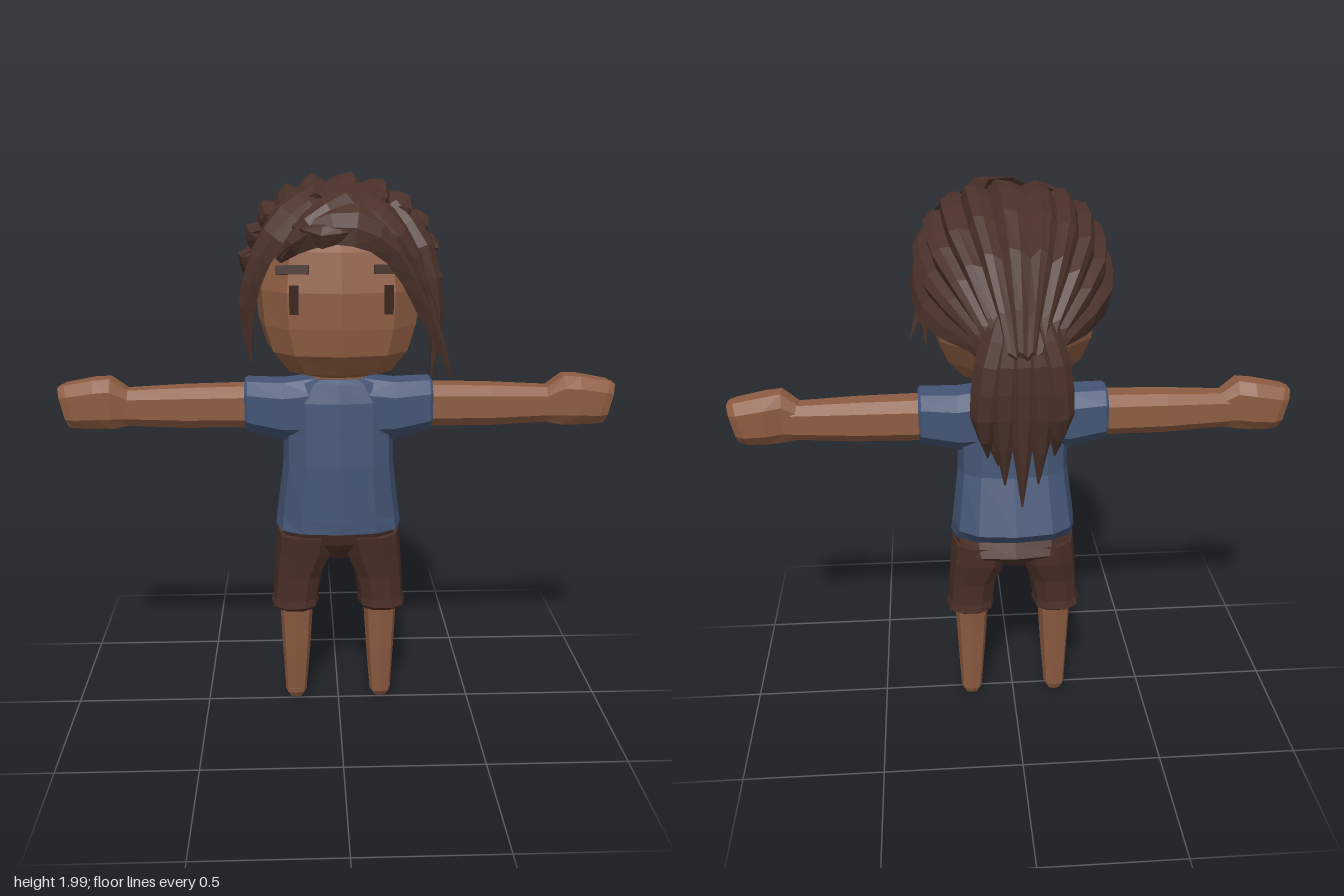
import * as THREE from 'three';

const mat = (name, color) => Object.assign(new THREE.MeshStandardMaterial({ color }), { name });
const V = (x, y, z) => new THREE.Vector3(x, y, z);

// Joins closed rings of points into a faceted skin, facing outward.
function loft(rings, capped = true) {
  const tris = [], n = rings[0].length;
  for (let i = 0; i < rings.length - 1; i++) {
    for (let j = 0; j < n; j++) {
      const k = (j + 1) % n, a = rings[i][j], b = rings[i][k], c = rings[i + 1][k], d = rings[i + 1][j];
      tris.push([a, d, c], [a, c, b]);
    }
  }
  if (capped) {
    for (const [r, flip] of [[rings[0], false], [rings[rings.length - 1], true]]) {
      const mid = r.reduce((s, p) => s.add(p), V(0, 0, 0)).divideScalar(n);
      for (let j = 0; j < n; j++) {
        const k = (j + 1) % n;
        tris.push(flip ? [mid, r[k], r[j]] : [mid, r[j], r[k]]);
      }
    }
  }
  let volume = 0;
  const o = rings[0][0];
  for (const [a, b, c] of tris) {
    volume += a.clone().sub(o).dot(b.clone().sub(o).cross(c.clone().sub(o)));
  }
  const pts = tris.flatMap(([a, b, c]) => (volume < 0 ? [a, c, b] : [a, b, c]));
  const g = new THREE.BufferGeometry().setFromPoints(pts);
  g.computeVertexNormals();
  return g;
}

const soft = (v, e) => Math.sign(v) * Math.abs(v) ** e;

// Horizontal rounded ring: centre x, height, half width, front z, back z.
function ring([cx, y, rx, zf, zb], n = 10, e = 0.75) {
  return Array.from({ length: n }, (_, i) => {
    const a = (i / n) * Math.PI * 2;
    return V(cx + rx * soft(Math.cos(a), e), y, (zf + zb) / 2 + ((zf - zb) / 2) * soft(Math.sin(a), e));
  });
}

// Upright ring across an arm: x, bottom, top, back z, front z, lean of the end.
function armRing(side, [x, y0, y1, z0, z1, lean = 0]) {
  return Array.from({ length: 8 }, (_, i) => {
    const a = ((i + 0.5) / 8) * Math.PI * 2, c = soft(Math.cos(a), 0.7) * 1.07, s = soft(Math.sin(a), 0.7) * 1.07;
    return V(side * (x + lean * s), (y0 + y1) / 2 + ((y1 - y0) / 2) * s, (z0 + z1) / 2 + ((z1 - z0) / 2) * c);
  });
}

// Tapered, flattened strand of hair lying against the head.
function lock(points, widths, thick) {
  const curve = new THREE.CatmullRomCurve3(points.map((p) => V(...p)));
  const steps = (points.length - 1) * 2, rings = [];
  for (let i = 0; i <= steps; i++) {
    const t = i / steps, f = t * (widths.length - 1), k = Math.min(Math.floor(f), widths.length - 2);
    const w = THREE.MathUtils.lerp(widths[k], widths[k + 1], f - k);
    const p = curve.getPoint(t), tan = curve.getTangent(t);
    const out = p.clone().sub(V(0, 1.6, 0));
    out.addScaledVector(tan, -out.dot(tan)).normalize();
    const across = tan.clone().cross(out);
    const h = Math.min(thick, w);
    rings.push([[w, 0], [0.35 * w, h], [-0.4 * w, 0.8 * h], [-w, 0], [0, -h]].map(([u, v]) =>
      p.clone().addScaledVector(across, u).addScaledVector(out, v)));
  }
  return loft(rings);
}

// Ridged hair shell running from the hairline to the gather at the back.
function hairShell() {
  // base z, base y, top z, top y, half width, thickness
  const rows = [
    [0.25, 1.69, 0.25, 1.88, 0.29, 0], [0.26, 1.67, 0.27, 1.93, 0.315, 0.05],
    [0.1, 1.645, 0.1, 1.97, 0.335, 0.06], [-0.05, 1.61, -0.05, 1.975, 0.33, 0.06],
    [-0.18, 1.58, -0.21, 1.935, 0.305, 0.06], [-0.27, 1.55, -0.33, 1.84, 0.24, 0.06],
    [-0.32, 1.52, -0.41, 1.67, 0.15, 0.05], [-0.34, 1.48, -0.45, 1.55, 0.1, 0.03], [-0.35, 1.46, -0.43, 1.5, 0.07, 0],
  ];
  const N = 33;
  const rings = rows.map(([bz, by, tz, ty, w, th], r) => {
    const arch = (inset, ridged) => Array.from({ length: N }, (_, i) => {
      const a = (i / (N - 1)) * Math.PI, s = soft(Math.sin(a), 0.85), c = soft(Math.cos(a), 0.85);
      const ridge = ridged && th ? [0.014, 0.004, -0.016][i % 3] : 0;
      const k = 1 - (inset - ridge) / Math.max(w, 0.1);
      const tip = r < 2 ? [0.012, 0, -0.02][i % 3] : 0;
      return V(w * c * k, by + (ty - by) * s * k, bz + (tz - bz) * s + tip);
    });
    return [...arch(0, true), ...arch(th, false).reverse()];
  });
  return loft(rings, false);
}

export function createModel() {
  const model = new THREE.Group();
  model.name = 'figure';
  const skin = mat('skin', 0x8d5c41), hair = mat('hair', 0x4b322a), shirt = mat('shirt', 0x435474);
  const cloth = mat('shorts', 0x4a2f27), dark = mat('eyes', 0x3a241c);
  const add = (name, geometry, material, parent = model) => {
    const m = new THREE.Mesh(geometry, material);
    m.name = name;
    parent.add(m);
    return m;
  };

  // Head and neck
  add('head', loft([
    [0, 1.3, 0.1, 0.12, -0.06], [0, 1.335, 0.19, 0.24, -0.12], [0, 1.41, 0.25, 0.3, -0.21], [0, 1.5, 0.28, 0.31, -0.27],
    [0, 1.62, 0.29, 0.31, -0.3], [0, 1.75, 0.27, 0.28, -0.29], [0, 1.85, 0.2, 0.2, -0.22], [0, 1.9, 0.08, 0.08, -0.1],
  ].map((r) => ring(r, 12, 0.7))), skin);
  add('neck', loft([[0, 1.2, 0.11, 0.06, -0.09], [0, 1.28, 0.1, 0.06, -0.08], [0, 1.36, 0.08, 0.06, -0.07]].map((r) => ring(r))), skin);

  // Shirt body
  add('shirtBody', loft([
    [0, 0.72, 0.23, 0.13, -0.15], [0, 0.77, 0.225, 0.13, -0.2], [0, 0.97, 0.2, 0.12, -0.125],
    [0, 1.08, 0.2, 0.11, -0.115], [0, 1.2, 0.2, 0.1, -0.105], [0, 1.265, 0.15, 0.08, -0.095], [0, 1.28, 0.11, 0.065, -0.09],
  ].map((r) => ring(r, 12))), shirt);

  // Shorts seat
  add('shortsSeat', loft([
    [0, 0.6, 0.1, 0.05, -0.1], [0, 0.67, 0.21, 0.105, -0.18], [0, 0.73, 0.228, 0.125, -0.15],
  ].map((r) => ring(r, 12))), cloth);

  for (const s of [1, -1]) {
    const side = s > 0 ? 'left' : 'right';
    // Sleeve, arm and fist
    add(side + 'Sleeve', loft([
      [0.08, 1.05, 1.28, -0.09, 0.08], [0.2, 1.06, 1.265, -0.1, 0.09],
      [0.325, 1.09, 1.27, -0.1, 0.08], [0.335, 1.1, 1.265, -0.09, 0.07],
    ].map((r) => armRing(s, r))), shirt);
    add(side + 'Arm', loft([
      [0.28, 1.1, 1.25, -0.085, 0.055], [0.55, 1.1, 1.245, -0.075, 0.05], [0.78, 1.11, 1.235, -0.06, 0.04],
    ].map((r) => armRing(s, r))), skin);
    add(side + 'Hand', loft([
      [0.75, 1.11, 1.235, -0.055, 0.04], [0.81, 1.1, 1.28, -0.06, 0.055], [0.87, 1.1, 1.275, -0.078, 0.055],
      [0.955, 1.1, 1.255, -0.075, 0.045, 0.02], [0.983, 1.105, 1.245, -0.06, 0.035, 0.016],
    ].map((r) => armRing(s, r))), skin);

    // Shorts leg and bare leg
    add(side + 'ShortsLeg', loft([
      [0.16, 0.395, 0.075, 0.07, -0.1], [0.163, 0.41, 0.09, 0.085, -0.12], [0.16, 0.44, 0.085, 0.083, -0.115],
      [0.15, 0.53, 0.09, 0.09, -0.125], [0.125, 0.62, 0.108, 0.105, -0.15], [0.11, 0.7, 0.115, 0.12, -0.16],
    ].map((r) => ring([r[0] * s, ...r.slice(1)], 10))), cloth);
    add(side + 'Leg', loft([
      [0.163, 0, 0.025, -0.005, -0.05], [0.163, 0.025, 0.04, 0.012, -0.062],
      [0.16, 0.22, 0.053, 0.04, -0.08], [0.158, 0.42, 0.064, 0.06, -0.1],
    ].map((r) => ring([r[0] * s, ...r.slice(1)], 8))), skin);

    // Eye and brow
    const eye = add(side + 'Eye', new THREE.BoxGeometry(0.03, 0.095, 0.009), dark);
    eye.position.set(s * 0.155, 1.598, 0.287);
    eye.rotation.y = s * 0.165;
    const brow = add(side + 'Brow', new THREE.BoxGeometry(0.11, 0.03, 0.009), dark);
    brow.position.set(s * 0.16, 1.695, 0.277);
    brow.rotation.set(-0.2, s * 0.18, 0);
  }

  // Hair: shell, fringe and tail
  const hairGroup = new THREE.Group();
  hairGroup.name = 'hair';
  model.add(hairGroup);
  add('hairShell', hairShell(), hair, hairGroup);
  const fringe = [
    [[[-0.2, 1.74, 0.33], [-0.1, 1.83, 0.4], [0.04, 1.85, 0.41], [0.17, 1.77, 0.38], [0.27, 1.58, 0.35], [0.36, 1.35, 0.33]], [0.02, 0.06, 0.075, 0.06, 0.04, 0.003], 0.03],
    [[[0.12, 1.92, 0.22], [0.02, 1.9, 0.34], [-0.1, 1.84, 0.39], [-0.2, 1.73, 0.35]], [0.08, 0.08, 0.055, 0.004], 0.035],
    [[[-0.08, 1.92, 0.22], [-0.17, 1.87, 0.31], [-0.26, 1.74, 0.31], [-0.305, 1.58, 0.28], [-0.3, 1.38, 0.25]], [0.07, 0.065, 0.05, 0.035, 0.003], 0.03],
    [[[0.18, 1.9, 0.22], [0.27, 1.77, 0.29], [0.31, 1.56, 0.29], [0.3, 1.34, 0.28]], [0.06, 0.05, 0.035, 0.003], 0.025],
    [[[0.02, 1.92, 0.24], [0.12, 1.87, 0.36], [0.22, 1.74, 0.37], [0.28, 1.57, 0.37]], [0.07, 0.06, 0.04, 0.003], 0.03],
    [[[-0.15, 1.84, 0.36], [-0.06, 1.82, 0.43], [0.04, 1.83, 0.42]], [0.015, 0.045, 0.015], 0.035],
  ];
  fringe.forEach(([p, w, t], i) => add('fringeLock' + (i + 1), lock(p, w, t), hair, hairGroup));
  for (let k = -2; k <= 2; k++) {
    const far = Math.abs(k), tip = [1.01, 1.08, 1.17][far];
    add('tailLock', lock([
      [k * 0.03, 1.64, -0.37], [k * 0.05, 1.5, -0.42], [k * 0.06, 1.33, -0.425], [k * 0.055, tip, -0.425 + far * 0.025],
    ], [0.045, 0.055, 0.05, 0.003], 0.035), hair, hairGroup);
  }
  for (const s of [-1, 1]) {
    add('innerTailLock', lock([
      [s * 0.05, 1.54, -0.34], [s * 0.09, 1.4, -0.36], [s * 0.09, 1.25, -0.33], [s * 0.07, 1.1, -0.29],
    ], [0.045, 0.05, 0.04, 0.003], 0.03), hair, hairGroup);
  }
  return model;
}
